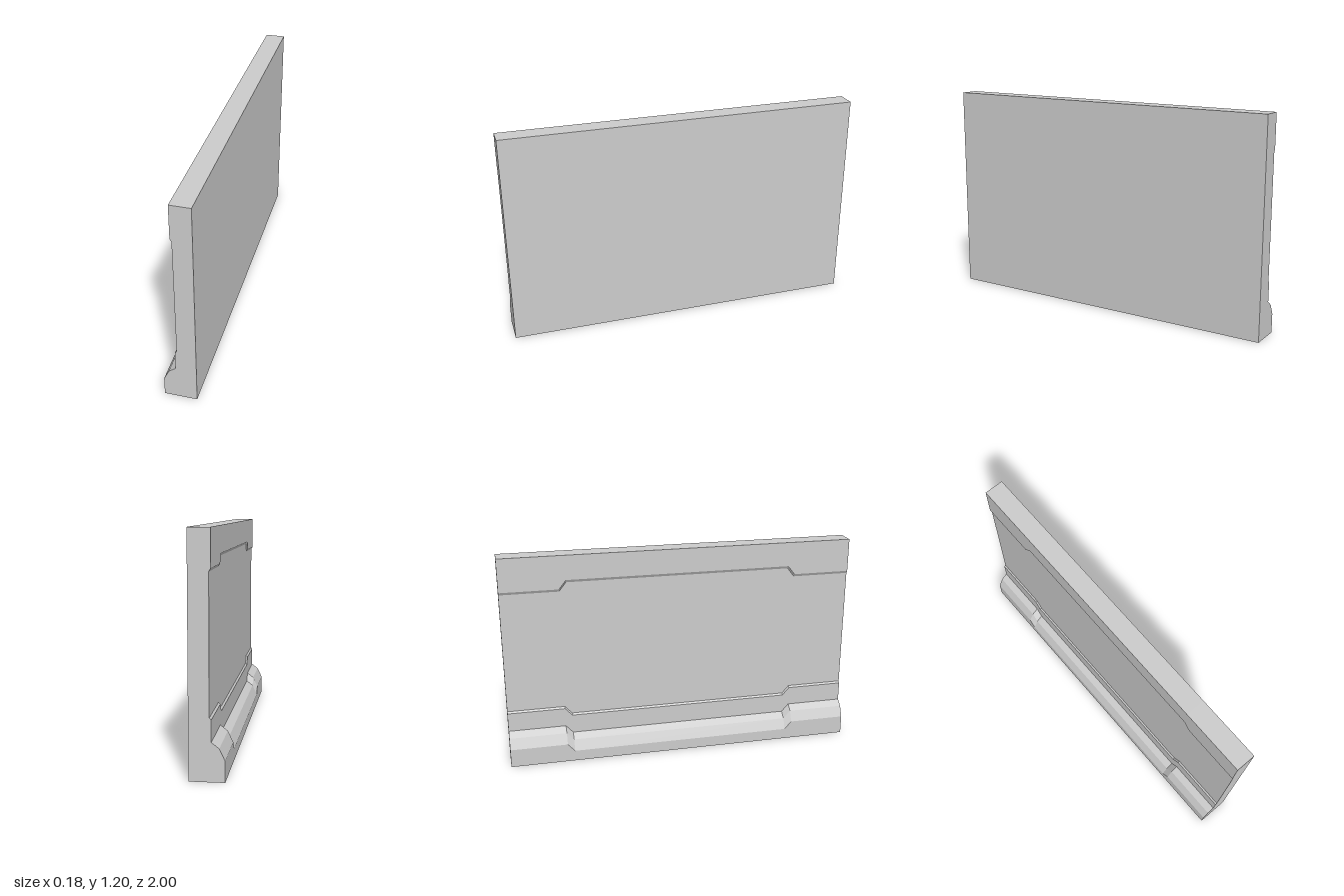
import * as THREE from 'three';

// Wall cross-section: skirting, recessed panel and top rail on the -x side, flat on +x
const PROFILE = [
  [0.088, 0], [0.088, 1.2], [-0.022, 1.2], [-0.022, 1.012], [-0.013, 0.997],
  [-0.013, 0.312], [-0.022, 0.302], [-0.022, 0.194], [-0.06, 0.165],
  [-0.088, 0.106], [-0.088, 0],
];
// Positions along the wall where the mouldings step down and up again
const STATIONS = [-1, -0.675, -0.635, 0.635, 0.675, 1];

export function createModel() {
  const group = new THREE.Group();
  group.name = 'wallPanel';

  const shape = new THREE.Shape(PROFILE.map(([x, y]) => new THREE.Vector2(x, y)));
  const segments = STATIONS.length - 1;
  const geometry = new THREE.ExtrudeGeometry(shape, {
    depth: segments, steps: segments, bevelEnabled: false,
  });

  // Place each section; in the middle run the skirting sits lower and the top rail edge higher
  const pos = geometry.attributes.position;
  for (let i = 0; i < pos.count; i++) {
    const station = Math.round(pos.getZ(i));
    const y = pos.getY(i);
    const middle = station === 2 || station === 3;
    if (middle && y > 0.05 && y < 0.5) pos.setY(i, y - 0.045);
    if (middle && y > 0.9 && y < 1.1) pos.setY(i, y + 0.05);
    pos.setZ(i, STATIONS[station]);
  }
  geometry.computeVertexNormals();

  const wall = new THREE.Mesh(geometry, new THREE.MeshStandardMaterial({ color: 0xcccccc }));
  wall.name = 'wallWithSkirting';
  group.add(wall);
  return group;
}
